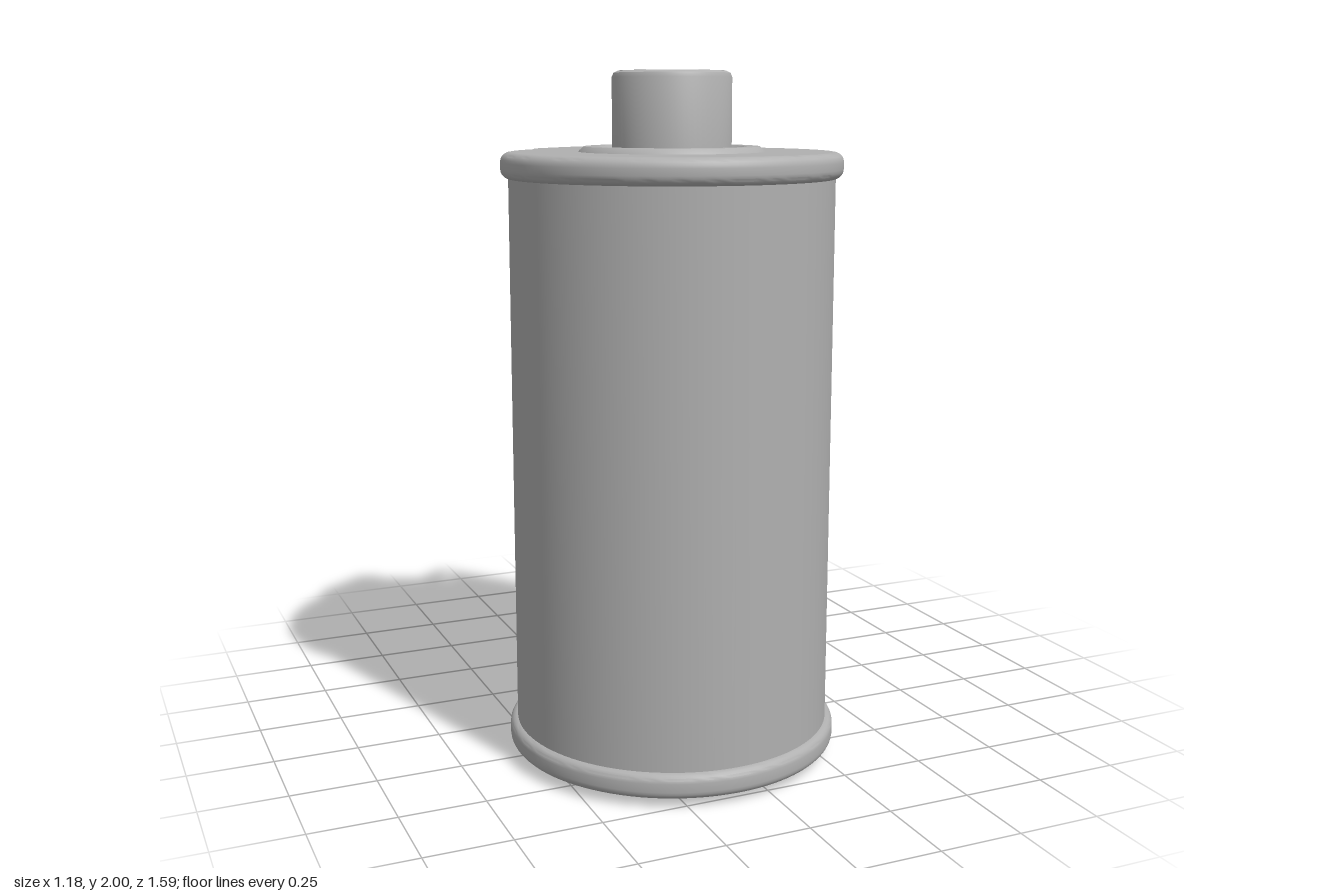
import * as THREE from 'three';
import { toCreasedNormals } from 'three/addons/utils/BufferGeometryUtils.js';

const CX = -0.105, CZ = 0.31; // axis of the canister

const metal = new THREE.MeshStandardMaterial({ color: 0xb0b0b0 });
metal.name = 'grey metal';
const brown = new THREE.MeshStandardMaterial({ color: 0x55352a, side: THREE.DoubleSide });
brown.name = 'brown film';

const v2 = ([x, y]) => new THREE.Vector2(x, y);

function add(group, name, geometry, material = metal) {
  const mesh = new THREE.Mesh(geometry, material);
  mesh.name = name;
  group.add(mesh);
  return mesh;
}

// Smooth curve through points given as [x, y]
function smooth(points, n) {
  const c = new THREE.CatmullRomCurve3(points.map(([x, y]) => new THREE.Vector3(x, y, 0)));
  return c.getPoints(n).map(p => new THREE.Vector2(p.x, p.y));
}

// Arc around the canister axis, in plan (x, -z), angles in degrees
function arc(r, from, to, n) {
  return Array.from({ length: n + 1 }, (_, i) => {
    const a = THREE.MathUtils.degToRad(from + (to - from) * i / n);
    return new THREE.Vector2(CX + r * Math.cos(a), -CZ + r * Math.sin(a));
  });
}

function circleHole(r) {
  const path = new THREE.Path();
  path.absarc(CX, -CZ, r, 0, Math.PI * 2, true);
  return path;
}

// Extrude a plan shape upwards; curved sides are smooth, flat faces stay flat
function extrudeUp(shape, y0, y1, bevel = 0) {
  const g = new THREE.ExtrudeGeometry(shape, {
    depth: y1 - y0 - 2 * bevel, curveSegments: 32, bevelEnabled: bevel > 0,
    bevelSize: bevel, bevelThickness: bevel, bevelOffset: -bevel, bevelSegments: 5,
  });
  g.rotateX(-Math.PI / 2).translate(0, y0 + bevel, 0);
  const out = toCreasedNormals(g, 0.6);
  const p = out.attributes.position, nrm = out.attributes.normal;
  for (let i = 0; i < p.count; i += 3) {
    const ys = [p.getY(i), p.getY(i + 1), p.getY(i + 2)];
    if (Math.max(...ys) - Math.min(...ys) > 1e-5) continue;
    const s = Math.sign(nrm.getY(i));
    for (let k = 0; k < 3; k++) nrm.setXYZ(i + k, 0, s, 0);
  }
  return out;
}

function lathe(points) {
  const g = toCreasedNormals(new THREE.LatheGeometry(points.map(v2), 64), 0.5);
  return g.translate(CX, 0, CZ);
}

// End cap outline: a circle with a pointed spout over the film slot
function capShape(holeRadius) {
  const spout = smooth([
    [-0.061, 0.183], [-0.112, 0.211], [-0.15, 0.258], [-0.188, 0.279], [-0.23, 0.262],
    [-0.31, 0.203], [-0.375, 0.15], [-0.392, 0.128], [-0.412, 0.08], [-0.434, 0.046],
  ], 60);
  const shape = new THREE.Shape([...arc(0.487, 133.5, 440, 90), ...spout.slice(0, -1)]);
  shape.holes.push(circleHole(holeRadius));
  return shape;
}

// Shell outline: a circle whose two lips leave a slot for the film
function shellShape() {
  const innerLip = smooth([[-0.065, 0.155], [-0.098, 0.174], [-0.122, 0.204]], 10);
  const slot = [[-0.132, 0.204], [-0.2, 0.142], [-0.218, 0.175], [-0.165, 0.23]].map(v2);
  const outerLip = smooth([
    [-0.172, 0.246], [-0.19, 0.252], [-0.222, 0.237], [-0.3, 0.177],
    [-0.36, 0.128], [-0.385, 0.085], [-0.42, 0.027],
  ], 30);
  const shape = new THREE.Shape([...arc(0.465, 134, 443, 90), ...innerLip, ...slot, ...outerLip]);
  shape.holes.push(circleHole(0.2));
  return shape;
}

// Film leader, drawn flat: d is depth behind the axis origin, stretched along the strip
const K = 1.6;      // strip length per unit of depth
const D0 = 0.171, D1 = 0.795;
function filmGeometry() {
  const S = d => (d - D0) * K;
  const s = new THREE.Shape();
  s.moveTo(0, 0.217);
  s.lineTo(S(0.765), 0.217);
  s.quadraticCurveTo(S(D1), 0.217, S(D1), 0.265);
  s.lineTo(S(D1), 0.70);
  s.bezierCurveTo(S(D1), 0.79, S(0.75), 0.86, S(0.69), 0.86);
  s.lineTo(S(0.565), 0.86);
  s.splineThru([[0.547, 0.865], [0.53, 0.89], [0.51, 0.96], [0.485, 1.09], [0.443, 1.32],
    [0.41, 1.49], [0.39, 1.555], [0.373, 1.577], [0.355, 1.582]].map(([d, y]) => v2([S(d), y])));
  s.lineTo(0, 1.582);

  // Sprocket holes along both edges
  const addHole = (d, y) => {
    const x = S(d), w = 0.038, h = 0.053, r = 0.02, p = new THREE.Path();
    p.moveTo(x - w + r, y - h);
    p.lineTo(x + w - r, y - h);
    p.quadraticCurveTo(x + w, y - h, x + w, y - h + r);
    p.lineTo(x + w, y + h - r);
    p.quadraticCurveTo(x + w, y + h, x + w - r, y + h);
    p.lineTo(x - w + r, y + h);
    p.quadraticCurveTo(x - w, y + h, x - w, y + h - r);
    p.lineTo(x - w, y - h + r);
    p.quadraticCurveTo(x - w, y - h, x - w + r, y - h);
    s.holes.push(p);
  };
  for (let i = 0; i < 5; i++) addHole(0.702 - i * 0.115, 0.349);
  for (let i = 3; i < 5; i++) addHole(0.702 - i * 0.115, 1.448);
  return new THREE.ShapeGeometry(s, 12);
}

export function createModel() {
  const group = new THREE.Group();
  group.name = 'filmCanister';

  // Canister shell and caps
  add(group, 'shell', extrudeUp(shellShape(), 0.09, 1.71));
  add(group, 'topCap', extrudeUp(capShape(0.22), 1.7, 1.775, 0.028));
  add(group, 'bottomCap', extrudeUp(capShape(0.245), 0.025, 0.1, 0.025));

  // Raised ring around the spool
  add(group, 'topRing', lathe([
    [0.27, 1.765], [0.264, 1.778], [0.25, 1.79], [0.212, 1.79], [0.203, 1.782],
    [0.203, 1.745], [0.185, 1.735], [0.16, 1.735],
  ]));

  // Hollow collar and recess underneath
  add(group, 'bottomCollar', lathe([
    [0, 0.3], [0.13, 0.3], [0.13, 0.008], [0.137, 0], [0.178, 0], [0.19, 0.015],
    [0.19, 0.038], [0.29, 0.038],
  ]));

  // Spool knob with a cross-shaped socket
  add(group, 'spoolKnob', lathe([[0.17, 1.72], [0.17, 1.982], [0.165, 1.994], [0.152, 2]]));
  const top = new THREE.Shape();
  top.absarc(CX, -CZ, 0.153, 0, Math.PI * 2, false);
  const a = 0.115, b = 0.028;
  top.holes.push(new THREE.Path([
    [b, a], [a, b], [a, -b], [b, -a], [-b, -a], [-a, -b], [-a, b], [-b, a],
  ].flatMap(([x, y], i) => {
    // every second corner pair is joined through an inner corner
    const p = [[x, y]];
    if (i % 2 === 0) p.push([Math.sign(x) * b, Math.sign(y) * b]);
    return p;
  }).map(([x, y]) => new THREE.Vector2(CX + x, -CZ + y))));
  add(group, 'spoolTop', extrudeUp(top, 1.9, 2));
  const floor = new THREE.CircleGeometry(0.15, 32).rotateX(-Math.PI / 2).translate(CX, 1.905, CZ);
  add(group, 'socketFloor', floor);

  // Film leader leaving the slot at an angle
  const film = add(group, 'filmLeader', filmGeometry(), brown);
  film.position.set(-0.19, 0, -D0);
  film.rotation.y = Math.atan2(1, 1.25);
  return group;
}
